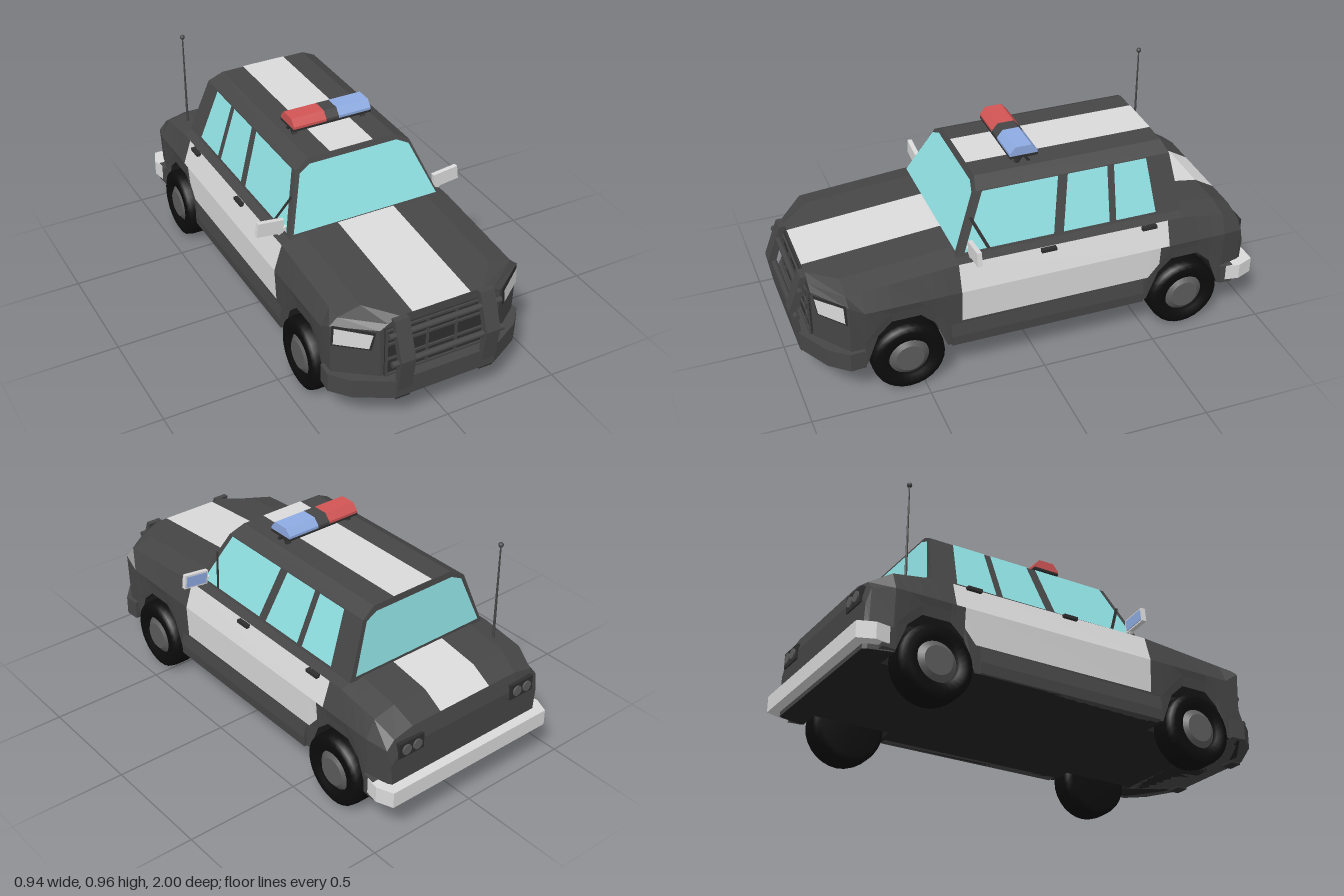
import * as THREE from 'three';

const mat = (name, color) => Object.assign(new THREE.MeshStandardMaterial({ color }), { name });
const dark = mat('dark paint', 0x464646);
const trim = mat('black trim', 0x2e2e2e);
const white = mat('white paint', 0xdadada);
const glass = mat('window glass', 0x8fe0e2);
const red = mat('red light', 0xd25555);
const blue = mat('blue light', 0x8eabe2);
const rubber = mat('tyre rubber', 0x0c0c0c);
const hubGrey = mat('hub grey', 0x5c5c5c);
const under = mat('underbody', 0x222222);

const lerp = THREE.MathUtils.lerp;

export function createModel() {
  const car = new THREE.Group();
  car.name = 'patrolCar';

  const add = (name, geo, material, x = 0, y = 0, z = 0) => {
    const m = new THREE.Mesh(geo, material);
    m.name = name;
    m.position.set(x, y, z);
    car.add(m);
    return m;
  };
  const box = (name, material, w, h, d, x, y, z) => add(name, new THREE.BoxGeometry(w, h, d), material, x, y, z);

  // Flat polygons, each turned to face away from the point ref(centre)
  const faces = (name, material, polys, ref) => {
    const pos = [];
    for (const poly of polys) {
      const p = poly.map(a => new THREE.Vector3(...a));
      const c = p.reduce((s, v) => s.add(v), new THREE.Vector3()).divideScalar(p.length);
      const n = new THREE.Vector3();
      p.forEach((v, i) => n.add(v.clone().sub(c).cross(p[(i + 1) % p.length].clone().sub(c))));
      if (n.dot(c.clone().sub(ref(c))) < 0) p.reverse();
      for (let i = 1; i < p.length - 1; i++) for (const v of [p[0], p[i], p[i + 1]]) pos.push(v.x, v.y, v.z);
    }
    const g = new THREE.BufferGeometry();
    g.setAttribute('position', new THREE.Float32BufferAttribute(pos, 3));
    g.computeVertexNormals();
    return add(name, g, material);
  };
  const flip = poly => poly.map(([x, y, z]) => [-x, y, z]);
  const both = polys => polys.flatMap(p => [p, flip(p)]);

  const extrude = (pts, depth) => new THREE.ExtrudeGeometry(
    new THREE.Shape(pts.map(p => new THREE.Vector2(...p))), { depth, bevelEnabled: false });
  // Profile in (z, y), centred on x
  const sideExtrude = (pts, w) => extrude(pts, w).rotateY(-Math.PI / 2).translate(w / 2, 0, 0);
  // Outline in (x, z), mirrored across x, rising from y0 to y1
  const planExtrude = (half, y0, y1) =>
    extrude([...half, ...half.map(([x, z]) => [-x, z]).reverse()], y1 - y0).rotateX(Math.PI / 2).translate(0, y1, 0);

  // ---- Body shell: cross-sections along z ----
  const table = (rows, z) => {
    for (let i = 0; i < rows.length - 1; i++) {
      const [z0, v0] = rows[i], [z1, v1] = rows[i + 1];
      if (z <= z1) return lerp(v0, v1, Math.max(0, (z - z0) / (z1 - z0)));
    }
    return rows.at(-1)[1];
  };
  const topLine = [[-0.957, 0.4], [-0.94, 0.467], [-0.85, 0.52], [-0.66, 0.55], [0.333, 0.555], [0.915, 0.507]];
  const widthLine = [[-0.957, 0.39], [-0.94, 0.4], [-0.85, 0.422], [0.8, 0.425], [0.915, 0.27]];
  const wheelZ = [-0.67, 0.565];
  const archLine = [[0, 0.345], [0.06, 0.345], [0.12, 0.29], [0.17, 0.16], [1, 0.16]];
  const archSteps = [-0.17, -0.12, -0.06, 0.06, 0.12, 0.17];
  const stations = [-0.957, -0.94, -0.85, -0.59, -0.66, 0.333, 0.8, 0.915,
    ...wheelZ.flatMap(c => archSteps.map(s => c + s))].sort((a, b) => a - b);
  const section = z => {
    const top = table(topLine, z), w = table(widthLine, z), k = w / 0.425;
    const y0 = Math.max(...wheelZ.map(c => table(archLine, Math.abs(z - c))));
    const belt = z > 0.79 ? 0.465 : Math.min(0.42, top - 0.06);
    return [[0, 0.16], [0.3 * k, 0.16], [0.3 * k, y0], [w - 0.012, y0], [w - 0.006, Math.max(0.275, y0 + 0.045)],
      [w, belt], [w - 0.035, top - 0.022], [0.29 * k, top], [0.13, top], [0, top]].map(([x, y]) => [x, y, z]);
  };
  const shell = { body: [], paintedDoors: [], stripe: [], floor: [] };
  const rings = stations.map(section);
  for (let i = 0; i < rings.length - 1; i++) {
    const a = rings[i], b = rings[i + 1], za = stations[i], zb = stations[i + 1];
    for (let j = 0; j < a.length - 1; j++) {
      let part = 'body';
      if (j < 3) part = 'floor';
      else if ((j === 4 && za > -0.56 || j === 5 && za > -0.6) && zb < 0.34) part = 'paintedDoors';
      else if (j === 8 && za > -0.945) part = 'stripe';
      shell[part].push([a[j], a[j + 1], b[j + 1], b[j]]);
    }
  }
  const axis = c => new THREE.Vector3(0, 0.37, c.z);
  const mats = { body: dark, paintedDoors: white, stripe: white, floor: under };
  for (const part in shell) faces(part, mats[part], both(shell[part]), axis);
  for (const r of [rings[0], rings.at(-1)]) {
    const cap = [];
    for (let j = 1; j < r.length - 1; j++) cap.push([r[j], r[j + 1], ...flip([r[j + 1], r[j]])]);
    faces('endPanel', dark, cap, () => new THREE.Vector3(0, 0.35, 0));
  }

  // ---- Cabin ----
  const cabin = [[0.35, 0.543, 0.33, -0.668], [0.264, 0.78, 0.215, -0.637], [0.2, 0.814, 0.2, -0.625]];
  const F = cabin.map(([x, y, z]) => [x, y, z]);
  const R = cabin.map(([x, y, , z]) => [x, y, z]);
  const centre = () => new THREE.Vector3(0, 0.6, -0.2);
  faces('cabin', dark, [
    ...both([[F[0], F[1], R[1], R[0]], [F[1], F[2], R[2], R[1]]]),
    [F[2], R[2], ...flip([R[2], F[2]])],
    [...F, ...flip([...F].reverse())], [...R, ...flip([...R].reverse())],
  ], centre);
  faces('roofStripe', white, [[[-0.1, 0.817, 0.2], [0.1, 0.817, 0.2], [0.1, 0.817, -0.625], [-0.1, 0.817, -0.625]]], centre);

  // Front and rear screens
  const screen = (pts, zAt) => [...pts, ...pts.map(([x, y]) => [-x, y]).reverse()].map(([x, y]) => [x, y, zAt(y)]);
  faces('windscreen', glass, [screen([[0.333, 0.563], [0.252, 0.772], [0.2, 0.797]],
    y => lerp(0.33, 0.2, (y - 0.543) / 0.271) + 0.009)], centre);
  faces('rearScreen', glass, [screen([[0.325, 0.565], [0.248, 0.77], [0.197, 0.794]],
    y => lerp(-0.668, -0.625, (y - 0.543) / 0.271) - 0.007)], centre);

  // Side windows: [bottom front, bottom rear, top front, top rear] z
  const onSide = (z, y, out) => [lerp(0.35, 0.264, (y - 0.543) / 0.237) + out, y, z];
  const sidePane = ([b0, b1, t0, t1], y0, y1, out) =>
    [onSide(b0, y0, out), onSide(b1, y0, out), onSide(t1, y1, out), onSide(t0, y1, out)];
  const panes = [[0.295, -0.092, 0.19, -0.137], [-0.135, -0.34, -0.18, -0.355], [-0.37, -0.55, -0.385, -0.53]];
  faces('sideWindows', glass, both(panes.map(p => sidePane(p, 0.557, 0.779, 0.004))), centre);
  faces('quarterBars', trim, both([sidePane([0.2, 0.185, 0.262, 0.247], 0.557, 0.69, 0.007)]), centre);

  // ---- Sides: sills, handles, mirrors, wheels ----
  for (const s of [1, -1]) {
    const sill = [[0.38, 0.16], [0.424, 0.16], [0.427, 0.205], [0.416, 0.275], [0.38, 0.275]].map(([x, y]) => [s * x, y]);
    add('sill', extrude(sill, 0.86), dark, 0, 0, -0.48);
    for (const z of [-0.05, -0.5]) box('doorHandle', trim, 0.02, 0.014, 0.065, s * 0.398, 0.522, z);

    const mirror = box('mirrorCase', white, 0.116, 0.062, 0.02, s * 0.411, 0.588, 0.272);
    mirror.rotation.z = s * 0.12;
    const pane = box('mirrorGlass', blue, 0.1, 0.048, 0.004, s * 0.411, 0.588, 0.261);
    pane.rotation.z = s * 0.12;
    box('mirrorArm', white, 0.05, 0.014, 0.014, s * 0.358, 0.562, 0.275).rotation.z = -s * 0.5;

    for (const z of wheelZ) {
      const wheel = new THREE.Group();
      wheel.name = 'wheel';
      const profile = [[0, -0.066], [0.13, -0.066], [0.15, -0.055], [0.155, -0.03], [0.155, 0.03], [0.15, 0.056],
        [0.13, 0.066], [0.09, 0.063], [0.085, 0.045], [0, 0.045]].map(p => new THREE.Vector2(...p));
      const tyre = new THREE.Mesh(new THREE.LatheGeometry(profile, 28), rubber);
      tyre.name = 'tyre';
      const hub = new THREE.Mesh(new THREE.CylinderGeometry(0.06, 0.086, 0.02, 24), hubGrey);
      hub.name = 'hub';
      hub.position.y = 0.055;
      wheel.add(tyre, hub);
      wheel.rotation.z = -s * Math.PI / 2;
      wheel.position.set(s * 0.376, 0.16, z);
      car.add(wheel);
    }

    // Headlight on the angled front corner, with a dark surround
    const corner = (t, y, out) => [s * (lerp(0.425, 0.27, t) + 0.6 * out), y, lerp(0.8, 0.915, t) + 0.8 * out];
    const lamp = (name, m, g, out) => faces(name, m, [[corner(0.1 - g, 0.462 + g / 5, out), corner(0.88 + g, 0.447 + g / 5, out),
      corner(0.8 + g, 0.38 - g / 5, out), corner(0.08 - g, 0.387 - g / 5, out)]], () => new THREE.Vector3(0, 0.4, 0));
    lamp('headlightSurround', trim, 0.05, 0.003);
    lamp('headlight', white, 0, 0.008);

    // Tail lamp cluster
    box('tailLampHousing', trim, 0.125, 0.068, 0.035, s * 0.295, 0.395, -0.946);
    for (const x of [0.268, 0.322])
      add('tailLamp', new THREE.CylinderGeometry(0.022, 0.022, 0.008, 16).rotateX(Math.PI / 2), hubGrey, s * x, 0.395, -0.966);
  }

  // ---- Front: bumper, grille, push bar ----
  add('frontBumper', planExtrude([[0.432, 0.745], [0.437, 0.81], [0.37, 0.89], [0.225, 0.97]], 0.16, 0.243), dark);
  box('grille', trim, 0.5, 0.225, 0.012, 0, 0.355, 0.916);
  for (const x of [-0.245, -0.19, -0.065, 0.065, 0.19, 0.245]) box('grilleBar', dark, 0.01, 0.22, 0.012, x, 0.355, 0.922);
  for (const y of [0.25, 0.325, 0.395, 0.462]) box('grilleSlat', dark, 0.5, 0.01, 0.014, 0, y, 0.922);
  const plate = [[0.915, 0.508], [0.94, 0.508], [1, 0.35], [0.978, 0.2], [0.955, 0.2], [0.965, 0.35]];
  for (const x of [-0.19, 0.19]) {
    add('pushBarPlate', sideExtrude(plate, 0.064), dark, x);
    box('pushBarFoot', trim, 0.064, 0.014, 0.05, x, 0.155, 0.94);
  }
  for (const [y, z] of [[0.45, 0.948], [0.336, 0.975]])
    add('pushBarTube', new THREE.CylinderGeometry(0.013, 0.013, 0.5, 10).rotateZ(Math.PI / 2), dark, 0, y, z);

  // ---- Rear bumper ----
  add('rearBumper', planExtrude([[0.43, -0.87], [0.44, -0.93], [0.412, -1]], 0.18, 0.25), white);
  add('rearBumperEnds', planExtrude([[0.425, -0.842], [0.43, -0.9]], 0.165, 0.252), dark);

  // ---- Light bar ----
  box('lightBarBase', trim, 0.364, 0.01, 0.12, 0, 0.848, -0.022);
  for (const x of [-0.16, 0.16]) for (const s of [1, -1])
    box('lightBarLeg', trim, 0.022, 0.046, 0.012, x, 0.828, -0.022 + s * 0.016).rotation.x = -s * 0.6;
  const lens = [[0.038, 0.853], [0.038, 0.864], [0.014, 0.893], [-0.056, 0.893], [-0.082, 0.864], [-0.082, 0.853]];
  add('redLight', sideExtrude(lens, 0.15), red, -0.104);
  add('lightBarCentre', sideExtrude(lens, 0.058), dark);
  add('blueLight', sideExtrude(lens, 0.15), blue, 0.104);

  // ---- Aerial ----
  add('aerial', new THREE.CylinderGeometry(0.003, 0.006, 0.43, 8), dark, -0.325, 0.735, -0.765);
  add('aerialTip', new THREE.SphereGeometry(0.011, 12, 8), dark, -0.325, 0.952, -0.765);
  return car;
}
